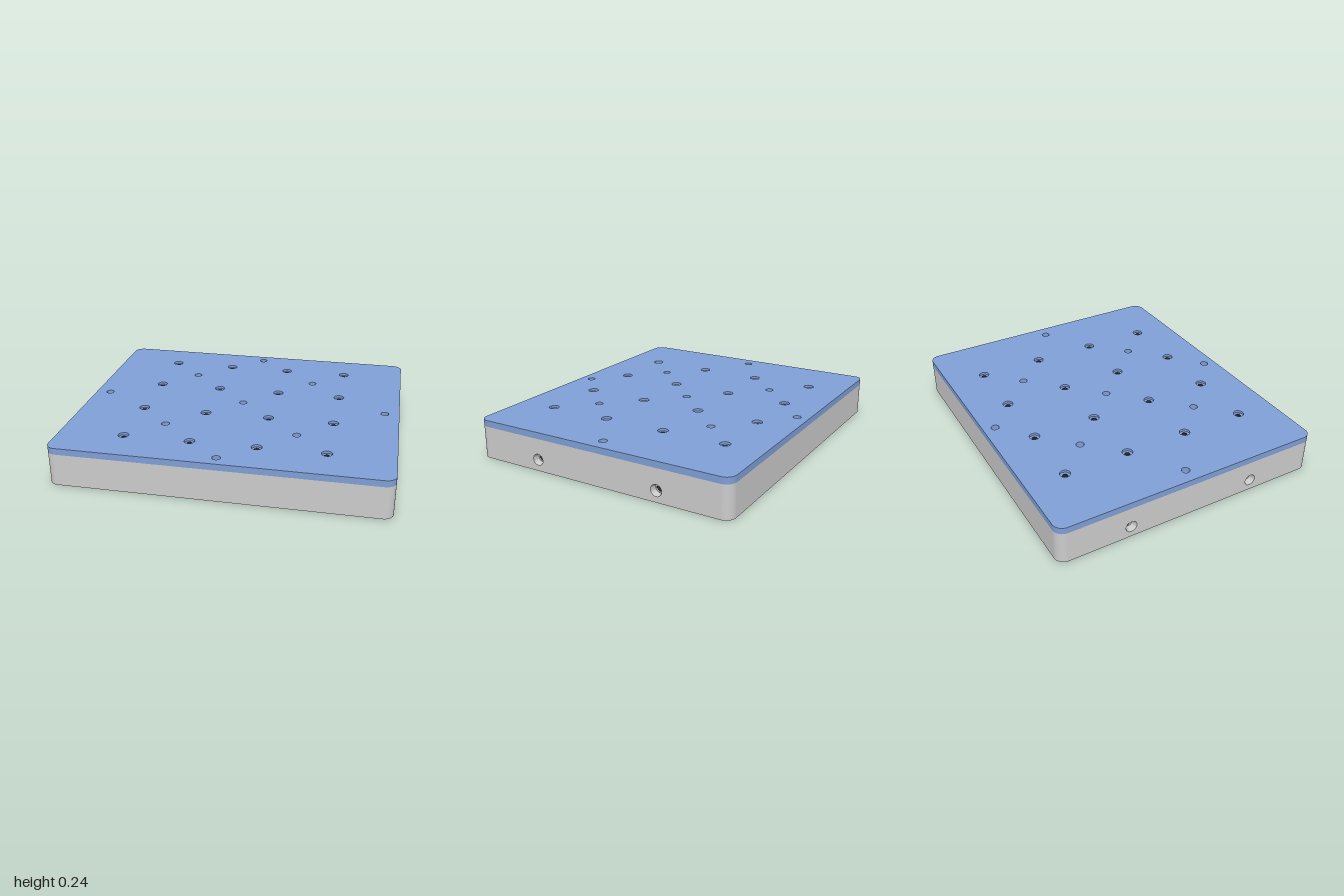
import * as THREE from 'three';
import { toCreasedNormals } from 'three/addons/utils/BufferGeometryUtils.js';

const W = 1, D = 0.85, R = 0.06, SEAM = 0.2, TOP = 0.24;
const grey = new THREE.MeshStandardMaterial({ color: 0xcccccc, side: THREE.DoubleSide });
const blue = new THREE.MeshStandardMaterial({ color: 0x7f9fd6, side: THREE.DoubleSide });
const dark = new THREE.MeshStandardMaterial({ color: 0x22262c, side: THREE.DoubleSide });

const SEG = 24;
const screwSpots = [], boltSpots = [], nutSpots = [[0, 0], [0, 0.775], [0, -0.775], [0.91, 0], [-0.91, 0]];
for (const x of [-0.605, -0.2, 0.2, 0.605]) for (const z of [-0.605, -0.2, 0.2, 0.605]) screwSpots.push([x, z]);
for (const x of [-0.405, 0.405]) for (const z of [-0.405, 0.405]) boltSpots.push([x, z]);

// Regular polygon matching the corners of a lathe with n sides
function ring(x, y, r, n = SEG) {
  const pts = [];
  for (let i = 0; i < n; i++) {
    const a = Math.PI / 2 + (i / n) * Math.PI * 2;
    pts.push(new THREE.Vector2(x + r * Math.cos(a), y + r * Math.sin(a)));
  }
  return new THREE.Path(pts);
}

function roundedPlate(holes) {
  const s = new THREE.Shape();
  s.absarc(W - R, D - R, R, 0, Math.PI / 2);
  s.absarc(-W + R, D - R, R, Math.PI / 2, Math.PI);
  s.absarc(-W + R, -D + R, R, Math.PI, Math.PI * 1.5);
  s.absarc(W - R, -D + R, R, Math.PI * 1.5, Math.PI * 2);
  s.holes.push(...holes);
  return new THREE.ShapeGeometry(s, 8);
}

function revolve(profile, n = SEG) {
  const geo = new THREE.LatheGeometry(profile.map(([r, y]) => new THREE.Vector2(r, y)), n);
  return toCreasedNormals(geo, 0.6);
}

export function createModel() {
  const model = new THREE.Group();
  const add = (parent, name, geo, mat, x = 0, y = 0, z = 0) => {
    const m = new THREE.Mesh(geo, mat);
    m.name = name;
    m.position.set(x, y, z);
    parent.add(m);
    return m;
  };

  const base = new THREE.Group();
  base.name = 'base';
  const cover = new THREE.Group();
  cover.name = 'cover';
  model.add(base, cover);

  // Top and bottom faces, pierced by the vertical holes
  const topHoles = [
    ...screwSpots.map(([x, z]) => ring(x, -z, 0.032)),
    ...[...boltSpots, ...nutSpots].map(([x, z]) => ring(x, -z, 0.025)),
  ];
  const bottomHoles = [
    ...boltSpots.map(([x, z]) => ring(x, z, 0.055)),
    ...nutSpots.map(([x, z]) => ring(x, z, 0.03, 6)),
  ];
  add(cover, 'topFace', roundedPlate(topHoles).rotateX(-Math.PI / 2), blue, 0, TOP);
  add(base, 'bottomFace', roundedPlate(bottomHoles).rotateX(Math.PI / 2), grey);

  // Outer walls of both layers
  for (const [part, mat, y0, y1] of [[base, grey, 0, SEAM], [cover, blue, SEAM, TOP]]) {
    const h = y1 - y0, mid = (y0 + y1) / 2;
    for (const s of [1, -1]) {
      const turn = s > 0 ? 0 : Math.PI;
      add(part, s > 0 ? 'frontWall' : 'backWall',
        new THREE.PlaneGeometry(2 * (W - R), h).rotateY(turn), mat, 0, mid, s * D);
      const hw = D - R;
      const side = new THREE.Shape([[-hw, y0], [hw, y0], [hw, y1], [-hw, y1]].map(p => new THREE.Vector2(...p)));
      if (part === base) side.holes.push(ring(-0.405, 0.07, 0.035), ring(0.405, 0.07, 0.035));
      add(part, s > 0 ? 'leftWall' : 'rightWall',
        new THREE.ShapeGeometry(side).rotateY(s * Math.PI / 2), mat, s * W);
    }
    for (let k = 0; k < 4; k++) {
      const sx = k < 2 ? 1 : -1, sz = k === 0 || k === 3 ? 1 : -1;
      add(part, 'roundedCorner', new THREE.CylinderGeometry(R, R, h, 8, 1, true, k * Math.PI / 2, Math.PI / 2),
        mat, sx * (W - R), mid, sz * (D - R));
    }
  }

  // Stepped blind screw holes in the cover
  const step = revolve([[0.032, TOP], [0.032, 0.225], [0.016, 0.225]]);
  const pilot = revolve([[0.016, 0.225], [0.016, 0.1], [0, 0.1]]);
  for (const [x, z] of screwSpots) {
    add(cover, 'screwSeat', step, blue, x, 0, z);
    add(base, 'screwPilot', pilot, dark, x, 0, z);
  }

  // Through bores: countersunk for bolts, six-sided pocket for nuts
  const coverBore = revolve([[0.025, TOP], [0.025, SEAM]]);
  const boltBore = revolve([[0.025, SEAM], [0.025, 0.03], [0.055, 0]]);
  const roundBore = revolve([[0.025, SEAM], [0.025, 0.1]]);
  const nutPocket = revolve([[0.03, 0.1], [0.03, 0]], 6);
  const ledge = new THREE.Shape(ring(0, 0, 0.03, 6).getPoints());
  ledge.holes.push(ring(0, 0, 0.025));
  const nutLedge = new THREE.ShapeGeometry(ledge).rotateX(Math.PI / 2);
  for (const [x, z] of boltSpots) {
    add(cover, 'coverBore', coverBore, blue, x, 0, z);
    add(base, 'countersunkBore', boltBore, grey, x, 0, z);
  }
  for (const [x, z] of nutSpots) {
    add(cover, 'coverBore', coverBore, blue, x, 0, z);
    add(base, 'roundBore', roundBore, grey, x, 0, z);
    add(base, 'nutPocket', nutPocket, grey, x, 0, z);
    add(base, 'nutLedge', nutLedge, grey, x, 0.1, z);
  }

  // Side sockets: round recess leading into a square channel
  const recess = revolve([[0.035, 0], [0.028, -0.02], [0.028, -0.04]]);
  const channel = revolve([[0.023, -0.04], [0.023, -0.5], [0, -0.5]], 4);
  const face = new THREE.Shape(ring(0, 0, 0.028).getPoints());
  face.holes.push(ring(0, 0, 0.023, 4));
  const socketFace = new THREE.ShapeGeometry(face).rotateX(-Math.PI / 2);
  for (const s of [1, -1]) for (const z of [-0.405, 0.405]) {
    const socket = new THREE.Group();
    socket.name = 'sideSocket';
    add(socket, 'socketRecess', recess, grey);
    add(socket, 'socketFace', socketFace, grey, 0, -0.04);
    add(socket, 'socketChannel', channel, dark);
    socket.position.set(s * W, 0.07, z);
    socket.rotation.z = -s * Math.PI / 2;
    base.add(socket);
  }
  return model;
}
